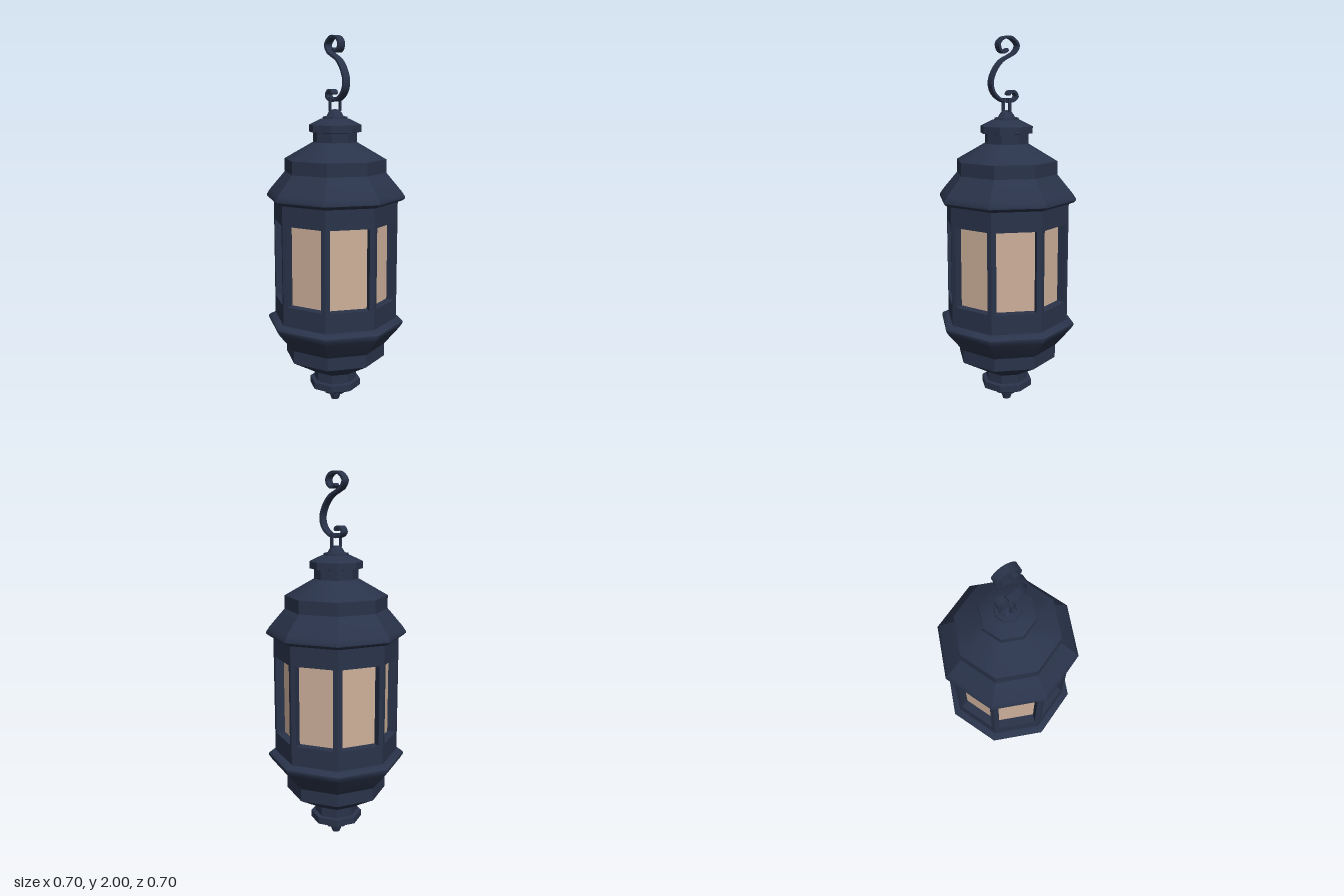
import * as THREE from 'three';
import { toCreasedNormals } from 'three/addons/utils/BufferGeometryUtils.js';

const deg = Math.PI / 180;
const TURN = 20.5 * deg; // direction of the first octagon corner
const CORNER = 0.338; // body corner radius
const APOTHEM = CORNER * Math.cos(Math.PI / 8);
const HALF = CORNER * Math.sin(Math.PI / 8);
const Y0 = 0.49, Y1 = 1.14; // body height range
const WIN = { half: 0.104, y0: 0.6, y1: 1.03, depth: 0.05 };

const iron = new THREE.MeshStandardMaterial({ color: 0x29334a });
const ironThin = new THREE.MeshStandardMaterial({ color: 0x29334a, side: THREE.DoubleSide });
const glass = new THREE.MeshStandardMaterial({ color: 0xcdb09a, side: THREE.DoubleSide });

function mesh(name, geometry, material = iron) {
  const m = new THREE.Mesh(geometry, material);
  m.name = name;
  return m;
}

// Eight-sided turned part from [radius, height] pairs, listed bottom to top
function octagonal(name, profile) {
  const pts = profile.map(([r, y]) => new THREE.Vector2(r, y));
  return mesh(name, toCreasedNormals(new THREE.LatheGeometry(pts, 8, TURN), 35 * deg));
}

// Wall of one side with a window hole, back edges drawn in to mitre the corners
function wallGeometry() {
  const rect = (Type, w, a, b) => {
    const p = new Type();
    p.moveTo(-w, a);
    p.lineTo(w, a);
    p.lineTo(w, b);
    p.lineTo(-w, b);
    p.closePath();
    return p;
  };
  const shape = rect(THREE.Shape, HALF, Y0, Y1);
  shape.holes.push(rect(THREE.Path, WIN.half, WIN.y0, WIN.y1));
  const geo = new THREE.ExtrudeGeometry(shape, { depth: WIN.depth, bevelEnabled: false });
  geo.translate(0, 0, APOTHEM - WIN.depth);
  const pos = geo.attributes.position;
  for (let i = 0; i < pos.count; i++) {
    const x = pos.getX(i);
    if (Math.abs(x) > HALF - 0.01) pos.setX(i, Math.sign(x) * pos.getZ(i) * Math.tan(Math.PI / 8));
  }
  geo.computeVertexNormals();
  return geo;
}

// S-shaped flat ribbon with a curl at each end
function hookGeometry() {
  const path = new THREE.SplineCurve([
    [0.0, 1.932], [0.022, 1.917], [0.046, 1.932], [0.05, 1.965], [0.02, 1.99],
    [-0.025, 1.99], [-0.062, 1.955], [-0.045, 1.918], [-0.015, 1.9], [0.035, 1.873],
    [0.075, 1.825], [0.096, 1.765], [0.08, 1.71], [0.03, 1.672], [-0.025, 1.668],
    [-0.056, 1.69], [-0.042, 1.716], [-0.015, 1.716], [-0.006, 1.7],
  ].map(([s, y]) => new THREE.Vector2(s, y)));
  const n = 110, t = 0.0065;
  const left = [], right = [];
  for (let i = 0; i <= n; i++) {
    const p = path.getPoint(i / n), d = path.getTangent(i / n);
    left.push(new THREE.Vector2(p.x - d.y * t, p.y + d.x * t));
    right.push(new THREE.Vector2(p.x + d.y * t, p.y - d.x * t));
  }
  const outline = new THREE.Shape(left.concat(right.reverse()));
  const geo = new THREE.ExtrudeGeometry(outline, { depth: 0.042, bevelEnabled: false });
  geo.translate(0, 0, -0.021);
  return toCreasedNormals(geo, 40 * deg);
}

export function createModel() {
  const lantern = new THREE.Group();
  lantern.name = 'lantern';

  // Roof profile; the base is the same one mirrored about the body's middle
  const roof = [
    [0.2, 1.12], [0.338, 1.135], [0.365, 1.145], [0.376, 1.155], [0.376, 1.165], [0.358, 1.192],
    [0.275, 1.29], [0.275, 1.36], [0.118, 1.45], [0.118, 1.5], [0.141, 1.503],
    [0.141, 1.54], [0.075, 1.572],
  ];
  const base = roof.map(([r, y]) => [r, 1.63 - y]).reverse();
  lantern.add(octagonal('roof', [...roof, [0, 1.572]]));
  lantern.add(octagonal('base', [[0, 0.058], ...base]));

  // Small turned ends
  lantern.add(octagonal('topFinial', [
    [0.068, 1.568], [0.065, 1.583], [0.046, 1.585], [0.038, 1.6], [0.024, 1.618], [0, 1.622],
  ]));
  lantern.add(octagonal('bottomFinial', [
    [0, 0], [0.022, 0], [0.034, 0.036], [0.046, 0.042], [0.064, 0.046], [0.068, 0.062],
  ]));

  // Eight walls, each with a recessed pane
  const wall = wallGeometry();
  const pane = new THREE.PlaneGeometry(2 * WIN.half + 0.004, WIN.y1 - WIN.y0 + 0.004);
  pane.translate(0, (WIN.y0 + WIN.y1) / 2, APOTHEM - WIN.depth + 0.002);
  for (let i = 0; i < 8; i++) {
    const side = new THREE.Group();
    side.name = 'windowSide' + (i + 1);
    side.rotation.y = TURN + (i - 0.5) * 45 * deg;
    side.add(mesh('wall', wall), mesh('pane', pane, glass));
    lantern.add(side);
  }

  // Square loop that hangs on the hook
  const loop = new THREE.Group();
  loop.name = 'hangingLoop';
  loop.rotation.y = TURN;
  for (const s of [-1, 1]) {
    const post = mesh('loopPost', new THREE.BoxGeometry(0.009, 0.07, 0.016));
    post.position.set(s * 0.033, 1.647, 0);
    loop.add(post);
  }
  for (const y of [1.615, 1.68]) {
    const bar = mesh('loopBar', new THREE.BoxGeometry(0.075, 0.009, 0.016));
    bar.position.y = y;
    loop.add(bar);
  }
  lantern.add(loop);

  const hook = mesh('hook', hookGeometry(), ironThin);
  hook.rotation.y = TURN - Math.PI / 2;
  lantern.add(hook);

  return lantern;
}
